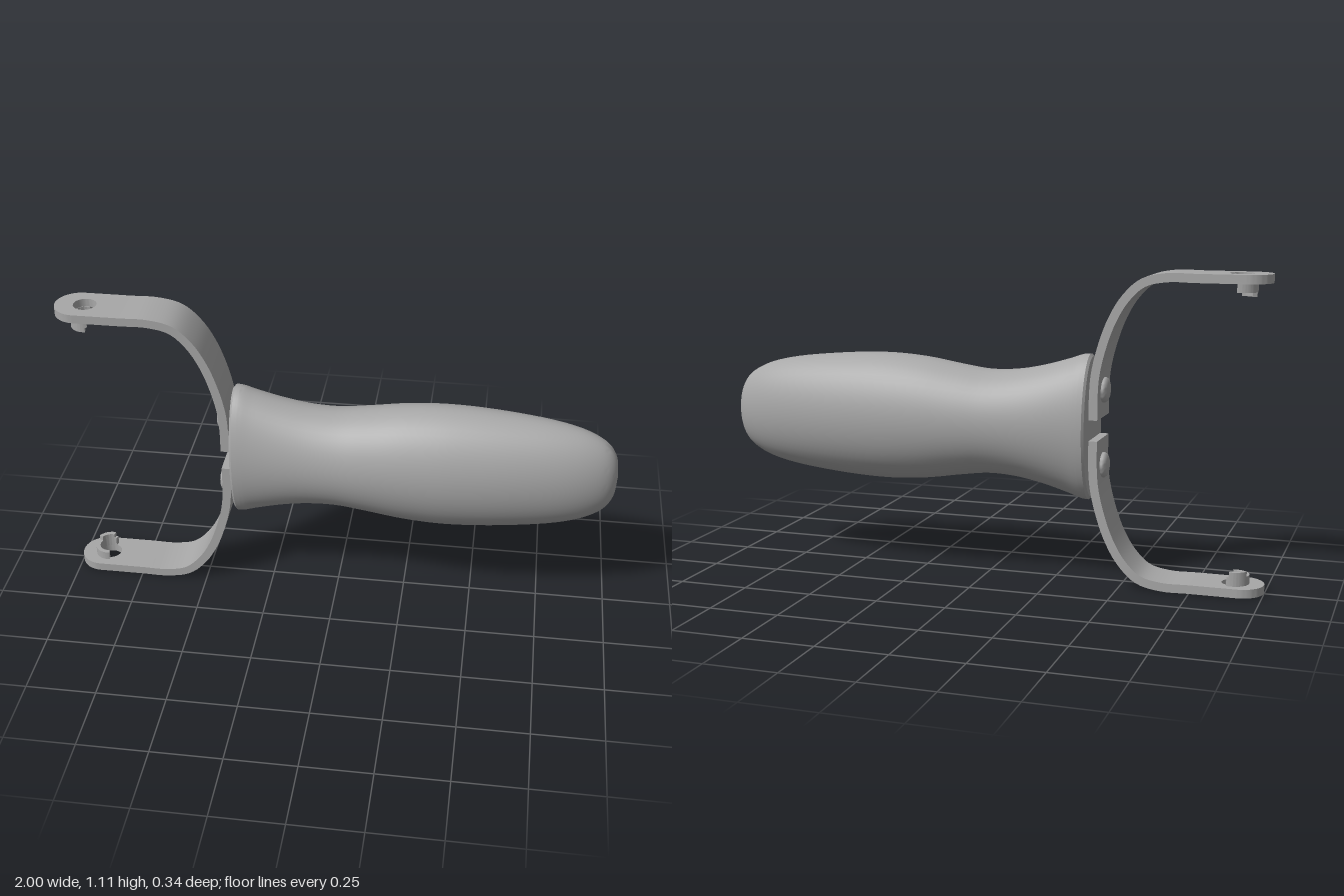
import * as THREE from 'three';
import { toCreasedNormals } from 'three/addons/utils/BufferGeometryUtils.js';

const metal = new THREE.MeshStandardMaterial({ color: 0xa8a8a8 });
metal.name = 'plain grey';

const MID_Y = 0.56, STRAP_Z = -0.005, STRAP_W = 0.17, STRAP_T = 0.031, TOP = 1.115;

function addMesh(parent, name, geometry) {
  const mesh = new THREE.Mesh(geometry, metal);
  mesh.name = name;
  parent.add(mesh);
  return mesh;
}

// Handle: elliptical rings [x, half height, half depth] lofted along x
function handleGeometry() {
  const sections = [
    [-0.372, 0.262, 0.133], [-0.35, 0.26, 0.135], [-0.3, 0.243, 0.138], [-0.2, 0.214, 0.144],
    [-0.1, 0.195, 0.149], [0, 0.19, 0.155], [0.1, 0.202, 0.162], [0.25, 0.225, 0.169],
    [0.4, 0.234, 0.169], [0.6, 0.224, 0.155], [0.8, 0.198, 0.125], [0.9, 0.168, 0.098],
    [0.96, 0.13, 0.07], [0.99, 0.08, 0.04], [1, 0, 0],
  ];
  const curve = new THREE.CatmullRomCurve3(sections.map(s => new THREE.Vector3(...s)));
  const rings = [[-0.38, 0, 0], [-0.38, 0.252, 0.125]];
  const steps = 70, sides = 48;
  for (let i = 0; i <= steps; i++) rings.push(curve.getPoint(i / steps).toArray());
  const pos = [], index = [];
  rings.forEach(([x, ry, rz], i) => {
    const cz = -0.008 * THREE.MathUtils.clamp((0.4 - x) / 0.78, 0, 1);
    for (let j = 0; j < sides; j++) {
      const a = (j / sides) * Math.PI * 2;
      pos.push(x, MID_Y + ry * Math.cos(a), cz + rz * Math.sin(a));
      if (i === rings.length - 1) continue;
      const p = i * sides + j, q = i * sides + (j + 1) % sides;
      index.push(p, q, p + sides, q, q + sides, p + sides);
    }
  });
  const g = new THREE.BufferGeometry();
  g.setAttribute('position', new THREE.Float32BufferAttribute(pos, 3));
  g.setIndex(index);
  return toCreasedNormals(g, 0.6);
}

// Bent strap: centre line thickened in xy and extruded across z
function bendGeometry() {
  const y0 = TOP - STRAP_T / 2;
  const path = new THREE.CatmullRomCurve3([
    [-0.75, y0], [-0.65, y0], [-0.57, 1.08], [-0.51, 1.025], [-0.465, 0.95],
    [-0.43, 0.855], [-0.408, 0.76], [-0.402, 0.68], [-0.402, 0.597],
  ].map(([x, y]) => new THREE.Vector3(x, y, 0)));
  const outer = [], inner = [], n = 40;
  for (let i = 0; i <= n; i++) {
    const p = path.getPoint(i / n), t = path.getTangent(i / n), h = STRAP_T / 2;
    outer.push(new THREE.Vector2(p.x - t.y * h, p.y + t.x * h));
    inner.push(new THREE.Vector2(p.x + t.y * h, p.y - t.x * h));
  }
  const g = new THREE.ExtrudeGeometry(new THREE.Shape([...outer, ...inner.reverse()]),
    { depth: STRAP_W, bevelEnabled: false });
  g.translate(0, 0, STRAP_Z - STRAP_W / 2);
  return toCreasedNormals(g, 0.5);
}

// Flat shape drawn in xz and extruded downwards from a given height
function plateGeometry(shape, depth, top) {
  const g = new THREE.ExtrudeGeometry(shape, { depth, bevelEnabled: false, curveSegments: 20 });
  g.rotateX(Math.PI / 2).translate(0, top, STRAP_Z);
  return toCreasedNormals(g, 0.5);
}

function createArm(name) {
  const arm = new THREE.Group();
  arm.name = name;
  addMesh(arm, 'bentStrap', bendGeometry());

  // Round-ended tip with a hole
  const r = STRAP_W / 2, holeX = -0.893;
  const tip = new THREE.Shape();
  tip.moveTo(-0.75, -r);
  tip.lineTo(-0.75, r);
  tip.lineTo(-1 + r, r);
  tip.absarc(-1 + r, 0, r, Math.PI / 2, Math.PI * 1.5, false);
  tip.holes.push(new THREE.Path().absarc(holeX, 0, 0.041, 0, Math.PI * 2, true));
  addMesh(arm, 'strapTip', plateGeometry(tip, STRAP_T, TOP));

  // Raised partial lip around the hole, with a longer tab
  const lip = (from, to, depth) => {
    const s = new THREE.Shape();
    s.absarc(holeX, 0, 0.055, from, to, false);
    s.absarc(holeX, 0, 0.039, to, from, true);
    return plateGeometry(s, depth, TOP - STRAP_T + 0.002);
  };
  addMesh(arm, 'holeLip', lip(Math.PI * 0.4, Math.PI * 1.55, 0.034));
  addMesh(arm, 'holeTab', lip(Math.PI * 0.45, Math.PI * 0.85, 0.052));

  // Domed rivet fixing the strap to the handle
  const profile = [[0, 0.022], [0.028, 0.021], [0.04, 0.016], [0.045, 0.008], [0.045, 0]]
    .reverse().map(p => new THREE.Vector2(...p));
  const rivet = addMesh(arm, 'rivet', toCreasedNormals(new THREE.LatheGeometry(profile, 28), 0.7));
  rivet.rotation.z = Math.PI / 2;
  rivet.position.set(-0.417, 0.695, STRAP_Z);
  return arm;
}

export function createModel() {
  const model = new THREE.Group();
  model.name = 'forkedHandle';
  addMesh(model, 'handle', handleGeometry());
  model.add(createArm('upperArm'));

  // The lower arm is the upper one turned over
  const lower = createArm('lowerArm');
  lower.rotation.x = Math.PI;
  lower.position.set(0, MID_Y * 2, STRAP_Z * 2);
  model.add(lower);
  return model;
}
